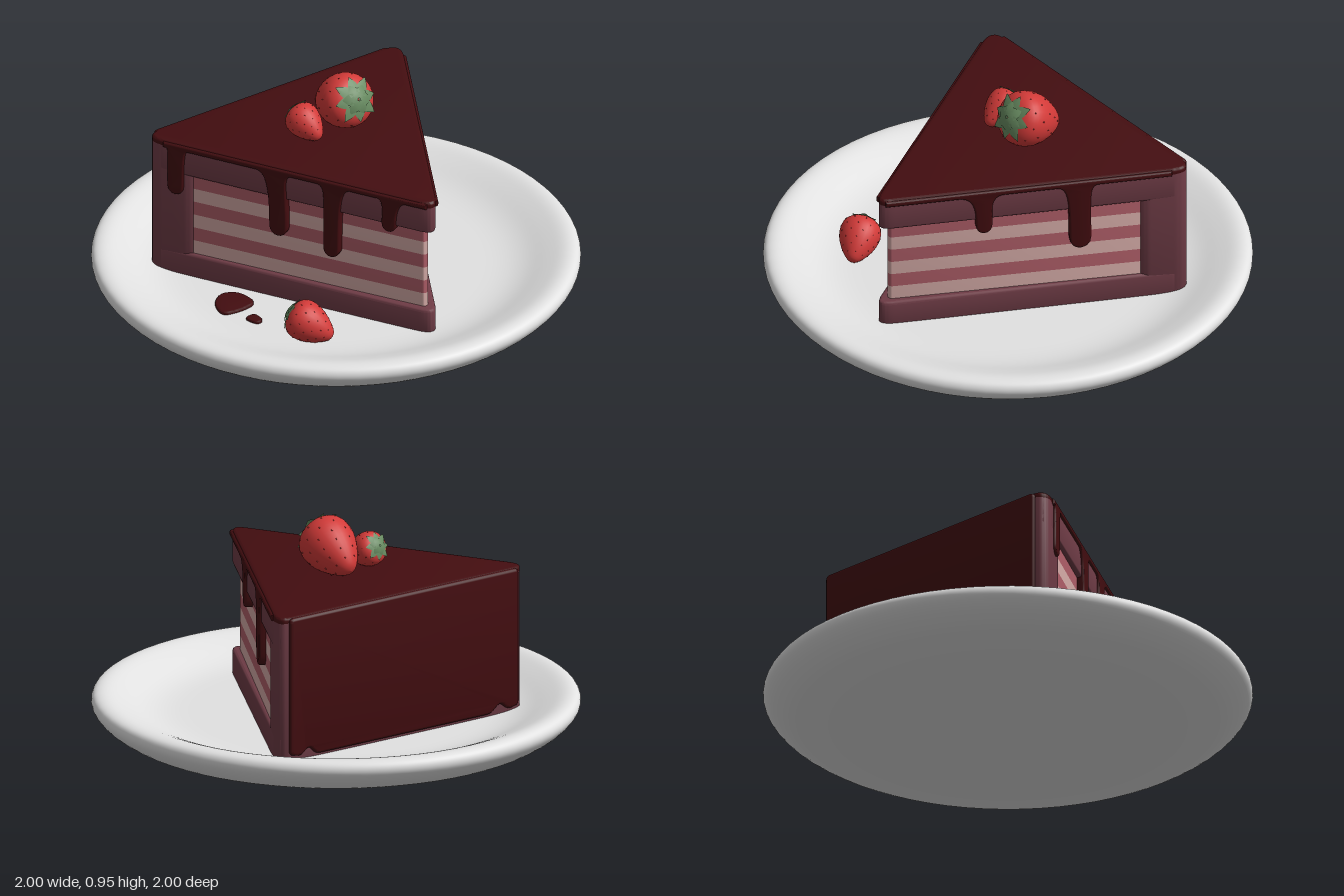
import * as THREE from 'three';
import { mergeGeometries, toCreasedNormals } from 'three/addons/utils/BufferGeometryUtils.js';

const material = (name, color, side = THREE.FrontSide) => {
  const m = new THREE.MeshStandardMaterial({ color, side });
  m.name = name;
  return m;
};

export function createModel() {
  const mats = {
    plate: material('white porcelain', 0xe2e2e2),
    glaze: material('dark chocolate', 0x430d10),
    frosting: material('mauve frosting', 0x6f3c46),
    pink: material('pink cream', 0xaf5e68),
    sponge: material('pale sponge', 0xd6aca8),
    berry: material('berry red', 0xd23a38),
    seed: material('seed red', 0xa02a28),
    leaf: material('leaf green', 0x678a60, THREE.DoubleSide),
  };
  const model = new THREE.Group();
  const add = (name, geometry, mat, parent = model) => {
    const mesh = new THREE.Mesh(geometry, mat);
    mesh.name = name;
    parent.add(mesh);
    return mesh;
  };

  // Polygon with softened corners
  const roundedShape = (pts, r) => {
    const shape = new THREE.Shape();
    const v = pts.map(p => new THREE.Vector2(...p));
    v.forEach((p, i) => {
      const toward = q => p.clone().add(q.clone().sub(p).setLength(Math.min(r, q.distanceTo(p) * 0.45)));
      const a = toward(v[(i + v.length - 1) % v.length]);
      const b = toward(v[(i + 1) % v.length]);
      if (i === 0) shape.moveTo(a.x, a.y); else shape.lineTo(a.x, a.y);
      shape.quadraticCurveTo(p.x, p.y, b.x, b.y);
    });
    return shape;
  };
  const extrude = (shape, thickness, bevel) => toCreasedNormals(new THREE.ExtrudeGeometry(shape, {
    depth: thickness - 2 * bevel, curveSegments: 8, bevelEnabled: bevel > 0,
    bevelThickness: bevel, bevelSize: bevel, bevelOffset: -bevel, bevelSegments: 3,
  }).translate(0, 0, bevel), 0.7);
  // Upright prism from a plan outline given as [x, z]
  const prism = (pts, r, y0, y1, bevel = 0) =>
    extrude(roundedShape(pts.map(([x, z]) => [x, -z]), r), y1 - y0, bevel)
      .rotateX(-Math.PI / 2).translate(0, y0, 0);

  // Plate: rim, raised wall and flat well
  const plateProfile = new THREE.SplineCurve([
    [0, 0], [0.4, 0], [0.68, 0.002], [0.78, 0.012], [0.88, 0.035], [0.95, 0.075], [0.99, 0.115],
    [1, 0.145], [0.988, 0.17], [0.96, 0.18], [0.92, 0.176], [0.86, 0.155], [0.77, 0.12],
    [0.68, 0.103], [0.55, 0.1], [0.3, 0.1], [0, 0.1],
  ].map(p => new THREE.Vector2(...p))).getPoints(64);
  plateProfile.forEach(p => { p.x = Math.max(0, Math.min(1, p.x)); p.y = Math.max(0, p.y); });
  add('plate', new THREE.LatheGeometry(plateProfile, 72), mats.plate);

  // Cake slice: frosting around a striped sponge
  const cake = new THREE.Group();
  cake.name = 'cakeSlice';
  model.add(cake);
  const wedge = [[-0.02, 0.68], [0.02, 0.68], [0.625, -0.41], [0.6, -0.455], [-0.6, -0.455], [-0.625, -0.41]];
  const backSlab = [[-0.54, -0.26], [0.54, -0.26], ...wedge.slice(2)];
  add('topFrosting', prism(wedge, 0.05, 0.567, 0.697, 0.012), mats.frosting, cake);
  add('bottomFrosting', prism(wedge, 0.05, 0.09, 0.203, 0.012), mats.frosting, cake);
  add('backFrosting', prism(backSlab, 0.04, 0.09, 0.695, 0.008), mats.frosting, cake);
  const layer = 0.0607;
  for (let i = 0; i < 6; i++) {
    const y = 0.203 + i * layer;
    add(i % 2 ? 'creamLayer' : 'spongeLayer',
      prism([[-0.01, 0.635], [0.01, 0.635], [0.53, -0.27], [-0.53, -0.27]], 0.01, y, y + layer),
      i % 2 ? mats.pink : mats.sponge, cake);
  }

  // Chocolate glaze: lid, dripping sides and back wall
  add('glazeTop', prism(wedge, 0.045, 0.675, 0.712, 0.012), mats.glaze, cake);
  const sideAngle = Math.atan2(0.874, 0.486);
  // Each drip: distance from the tip, half width at the rim, half width, lowest y, lean
  const addSide = (name, sign, drips) => {
    const top = 0.706, rim = 0.682, end = 1.19;
    const s = new THREE.Shape();
    s.moveTo(0, top);
    s.lineTo(0, rim);
    drips.forEach(([d, flare, w, low, lean]) => {
      const e = d + lean;
      s.lineTo(d - flare, rim);
      s.bezierCurveTo(d - w, rim - 0.01, e - w, rim - 0.06, e - w, low + w * 1.2);
      s.bezierCurveTo(e - w, low - w * 0.3, e + w, low - w * 0.3, e + w, low + w * 1.2);
      s.bezierCurveTo(e + w, rim - 0.06, d + w, rim - 0.01, d + flare, rim);
    });
    s.lineTo(end, rim);
    s.lineTo(end, top);
    if (sign < 0) {
      const pts = s.getPoints(8).map(p => new THREE.Vector2(-p.x, p.y));
      s.curves = [];
      s.setFromPoints(pts);
    }
    const mesh = add(name, extrude(s, 0.05, 0.008).translate(0, 0, -0.036), mats.glaze, cake);
    mesh.position.set(sign * 0.02, 0, 0.67);
    mesh.rotation.y = sign * sideAngle;
  };
  addSide('leftGlazeDrips', 1, [
    [0.4, 0.085, 0.034, 0.5, 0.01], [0.8, 0.08, 0.045, 0.375, 0.01],
  ]);
  addSide('rightGlazeDrips', -1, [
    [0.16, 0.06, 0.032, 0.535, 0.01], [0.42, 0.07, 0.036, 0.35, 0.01],
    [0.69, 0.075, 0.04, 0.39, -0.02], [1.13, 0.045, 0.036, 0.47, 0.005],
  ]);
  const backWall = roundedShape([
    [-0.585, 0.708], [-0.585, 0.125], [-0.53, 0.115], [-0.49, 0.15], [-0.45, 0.11],
    [0.44, 0.11], [0.49, 0.15], [0.53, 0.115], [0.585, 0.125], [0.585, 0.708],
  ], 0.02);
  add('glazeBack', extrude(backWall, 0.04, 0.012).rotateY(Math.PI).translate(0, 0, -0.428), mats.glaze, cake);

  // Strawberries: tapered body, seeds and a leafy cap
  const berryCurve = new THREE.SplineCurve([
    [0, -1.35], [0.28, -1.25], [0.64, -0.8], [0.91, -0.25], [1, 0.25], [0.9, 0.68], [0.55, 0.96], [0, 1.02],
  ].map(p => new THREE.Vector2(...p)));
  const berryProfile = berryCurve.getPoints(24);
  berryProfile.forEach(p => { p.x = Math.max(0, p.x); });
  const berryGeometry = new THREE.LatheGeometry(berryProfile, 28);
  const seeds = [];
  for (let row = 0; row < 6; row++) {
    const p = berryCurve.getPointAt(0.17 + row * 0.105);
    const count = Math.round(4 + p.x * 6);
    for (let i = 0; i < count; i++) {
      seeds.push(new THREE.SphereGeometry(0.03, 6, 4).scale(0.8, 1.4, 0.6)
        .translate(0, p.y, p.x).rotateY((i + (row % 2) / 2) / count * Math.PI * 2));
    }
  }
  const seedGeometry = mergeGeometries(seeds);
  const leaves = [];
  const addLeaf = (angle, length, lift) => {
    const g = new THREE.PlaneGeometry(2, 1, 2, 6);
    const pos = g.attributes.position;
    for (let i = 0; i < pos.count; i++) {
      const side = pos.getX(i), t = pos.getY(i) + 0.5;
      const w = 0.23 * Math.sin(Math.PI * Math.pow(t, 0.8));
      pos.setXYZ(i, side * w, 1.05 + lift - 0.2 * t * t - Math.abs(side) * w * 0.15, 0.04 + length * t);
    }
    g.computeVertexNormals();
    leaves.push(g.rotateY(angle));
  };
  for (let i = 0; i < 8; i++) addLeaf(i * Math.PI / 4, i % 2 ? 0.88 : 0.8, 0.02);
  for (let i = 0; i < 6; i++) addLeaf(i * Math.PI / 3 + 0.3, 0.55, 0.13);
  const leafGeometry = mergeGeometries(leaves);

  const addBerry = (name, radius, position, axis) => {
    const berry = new THREE.Group();
    berry.name = name;
    add('berryBody', berryGeometry, mats.berry, berry);
    add('berrySeeds', seedGeometry, mats.seed, berry);
    add('berryLeaves', leafGeometry, mats.leaf, berry);
    berry.scale.setScalar(radius);
    berry.position.set(...position);
    berry.quaternion.setFromUnitVectors(new THREE.Vector3(0, 1, 0), new THREE.Vector3(...axis).normalize());
    model.add(berry);
  };
  addBerry('largeStrawberry', 0.115, [0.07, 0.822, -0.055], [0, 0.45, 0.89]);
  addBerry('smallStrawberry', 0.072, [-0.112, 0.778, -0.06], [-0.12, 0.4, -0.9]);
  addBerry('plateStrawberry', 0.085, [-0.44, 0.172, 0.425], [-0.5, 0.38, -0.72]);

  // Chocolate spots on the plate
  add('largeSauceSpot', prism([
    [-0.6, -0.02], [-0.53, -0.07], [-0.46, -0.03], [-0.45, 0.08], [-0.54, 0.095], [-0.63, 0.08],
  ], 0.06, 0.09, 0.112, 0.008), mats.glaze);
  add('smallSauceSpot', prism([
    [-0.57, 0.15], [-0.51, 0.145], [-0.51, 0.21], [-0.55, 0.22],
  ], 0.03, 0.09, 0.111, 0.006), mats.glaze);

  return model;
}
